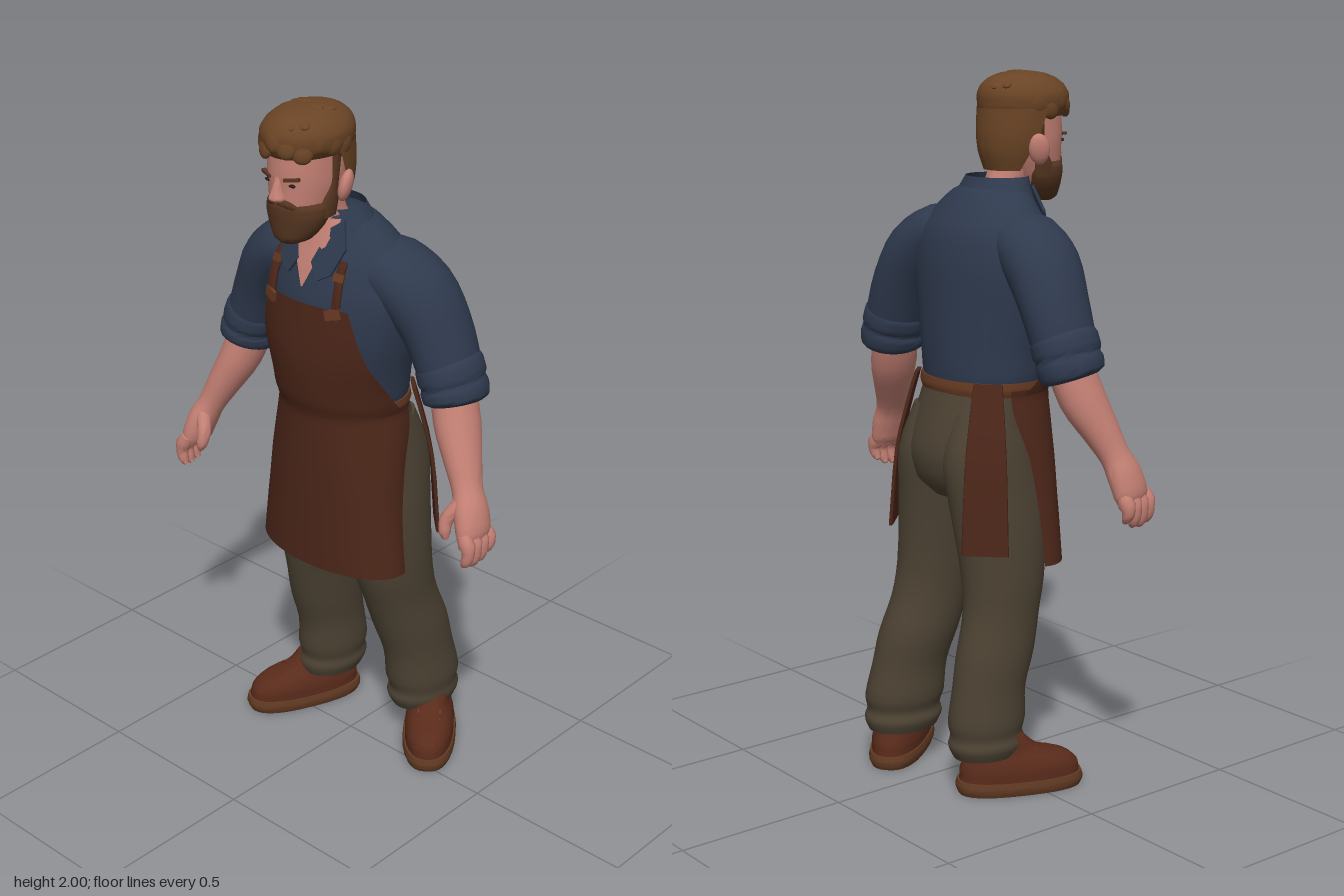
import * as THREE from 'three';
import { mergeVertices, toCreasedNormals } from 'three/addons/utils/BufferGeometryUtils.js';

const mat = (name, color, side = THREE.FrontSide) => {
  const m = new THREE.MeshStandardMaterial({ color, side });
  m.name = name;
  return m;
};

// Skin through elliptical sections [x, y, z, radiusX, radiusZ, halfAngle].
// A half angle leaves an open sheet around "mid"; flat keeps the rings level.
function loft(sections, { n = 32, steps = 3, flat = true, p = 1, mid = Math.PI / 2, open = false } = {}) {
  const path = new THREE.CatmullRomCurve3(sections.map(s => new THREE.Vector3(s[0], s[1], s[2])));
  const size = new THREE.CatmullRomCurve3(sections.map(s => new THREE.Vector3(s[3], s[4], s[5] ?? Math.PI)));
  const rows = (sections.length - 1) * steps, pos = [], idx = [], w = n + 1;
  const pw = c => Math.sign(c) * Math.abs(c) ** p;
  for (let i = 0; i <= rows; i++) {
    const c = path.getPoint(i / rows), r = size.getPoint(i / rows);
    const t = flat ? new THREE.Vector3(0, 1, 0) : path.getTangent(i / rows);
    const u = t.clone().cross(new THREE.Vector3(0, 0, 1)).normalize();
    const v = u.clone().cross(t);
    for (let j = 0; j <= n; j++) {
      const k = open ? mid + r.z * (2 * j / n - 1) : (j % n) / n * Math.PI * 2;
      const q = c.clone().addScaledVector(u, r.x * pw(Math.cos(k))).addScaledVector(v, r.y * pw(Math.sin(k)));
      pos.push(q.x, q.y, q.z);
      if (i < rows && j < n) {
        const a = i * w + j;
        idx.push(a, a + w, a + 1, a + 1, a + w, a + w + 1);
      }
    }
  }
  if (!open) {
    const e = pos.length / 3, last = rows * w;
    for (const q of [path.getPoint(0), path.getPoint(1)]) pos.push(q.x, q.y, q.z);
    for (let j = 0; j < n; j++) idx.push(e, j, j + 1, e + 1, last + j + 1, last + j);
  }
  const g = new THREE.BufferGeometry();
  g.setAttribute('position', new THREE.Float32BufferAttribute(pos, 3));
  g.setIndex(idx);
  return toCreasedNormals(mergeVertices(g, 1e-5), 1.0);
}

export function createModel() {
  const model = new THREE.Group();
  model.name = 'craftsman';
  const D = THREE.DoubleSide;
  const skin = mat('skin', 0xc48074, D), shirt = mat('blue shirt', 0x2f3a4e, D);
  const apron = mat('brown apron', 0x4c2619, D), strap = mat('strap leather', 0x643820);
  const pants = mat('olive trousers', 0x4b4132), hair = mat('hair', 0x6a4425, D);
  const beard = mat('beard', 0x553520), shoe = mat('shoe leather', 0x592b1b);
  const sole = mat('sole', 0x613a23), dark = mat('eye dark', 0x2c1d18);

  const add = (name, geo, m, parent = model) => {
    const mesh = new THREE.Mesh(geo, m);
    mesh.name = name;
    parent.add(mesh);
    return mesh;
  };
  const ball = (name, m, [x, y, z], [a, b, c], parent) => {
    const mesh = add(name, new THREE.SphereGeometry(1, 16, 12), m, parent);
    mesh.position.set(x, y, z);
    mesh.scale.set(a, b, c);
    return mesh;
  };

  // Trousers
  add('hips', loft([[-.01, .83, -.04, .1, .1], [-.01, .88, -.043, .165, .145], [-.01, .97, -.042, .19, .16],
    [-.01, 1.08, -.015, .182, .153], [-.01, 1.17, .01, .175, .145]]), pants);
  add('leftLeg', loft([[.147, .11, -.165, .083, .108], [.147, .145, -.163, .096, .122], [.15, .17, -.16, .09, .114],
    [.147, .21, -.158, .097, .124], [.143, .3, -.142, .091, .118], [.132, .4, -.115, .098, .124], [.126, .5, -.078, .094, .122],
    [.122, .6, -.05, .1, .13], [.106, .8, -.035, .107, .15], [.09, .95, -.042, .102, .155], [.082, 1.08, -.015, .085, .135]]), pants);
  add('rightLeg', loft([[-.178, .11, -.11, .08, .105], [-.178, .145, -.112, .093, .118], [-.176, .17, -.112, .087, .11],
    [-.175, .21, -.11, .093, .118], [-.173, .3, -.1, .087, .113], [-.17, .4, -.075, .091, .12], [-.163, .5, -.05, .09, .118],
    [-.155, .6, -.035, .098, .126], [-.128, .8, -.03, .107, .15], [-.11, .95, -.042, .102, .155], [-.102, 1.08, -.015, .085, .135]]), pants);

  // Shoes, toes turned out
  for (const [side, x, z, turn] of [['left', .213, -.12, .66], ['right', -.225, -.03, -.4]]) {
    const g = new THREE.Group();
    g.name = side + 'Shoe';
    g.position.set(x, 0, z);
    g.rotation.y = turn;
    model.add(g);
    add(side + 'Sole', loft([[0, 0, 0, .074, .178], [0, .02, 0, .08, .186], [0, .04, 0, .077, .182]], { p: .8 }), sole, g);
    add(side + 'Upper', loft([[0, .035, 0, .073, .176], [0, .07, -.002, .073, .172], [0, .098, -.014, .065, .15],
      [0, .12, -.05, .055, .108], [0, .17, -.075, .053, .075]], { p: .85 }), shoe, g);
    for (let i = 0; i < 3; i++) {
      const lace = add('lace', new THREE.BoxGeometry(.07, .01, .012), strap, g);
      lace.position.set(0, .106 + i * .012, .07 - i * .03);
      lace.rotation.x = .5;
    }
  }

  // Shirt body, throat and collar
  add('shirtBody', loft([[-.01, 1.13, .01, .18, .147], [-.01, 1.17, .012, .195, .155], [-.008, 1.24, .018, .204, .163],
    [-.005, 1.35, .025, .228, .168], [-.005, 1.47, .024, .245, .163], [-.008, 1.57, .02, .225, .142],
    [-.01, 1.64, .028, .168, .107], [-.01, 1.675, .038, .125, .089], [-.01, 1.69, .045, .09, .075]]), shirt);
  add('throat', loft([[-.003, 1.505, .035, .235, .156, .01], [-.006, 1.57, .035, .215, .138, .15],
    [-.01, 1.64, .045, .16, .106, .42], [-.012, 1.69, .06, .1, .08, .9]], { open: true, n: 12 }), skin);
  add('neck', loft([[-.01, 1.56, .05, .07, .07], [-.012, 1.66, .07, .064, .066], [-.018, 1.77, .12, .064, .066]]), skin);
  add('collarBand', loft([[-.01, 1.63, .04, .152, .108, 2.2], [-.01, 1.67, .048, .124, .092, 2.25],
    [-.012, 1.715, .058, .096, .082, 2.35]], { open: true, mid: -Math.PI / 2 }), shirt);
  for (const s of [1, -1]) {
    const tip = new THREE.Shape([[.056, .135], [.092, .165], [.116, .09], [.09, .015], [.052, -.01], [.022, .035]]
      .map(([x, y]) => new THREE.Vector2(s * x, y)));
    const leaf = add('collarLeaf', new THREE.ExtrudeGeometry(tip, { depth: .009, bevelEnabled: false }), shirt);
    leaf.position.set(-.008, 1.54, .18);
    leaf.rotation.set(-.36, s * .16, 0);
  }

  // Apron: bib, skirt, tie band, hanging back panels, straps
  add('apronBib', loft([[-.01, 1.12, .01, .196, .165, 1.75], [-.01, 1.16, .015, .208, .175, 1.5], [-.008, 1.21, .019, .214, .18, 1.3],
    [-.005, 1.3, .026, .236, .184, .95], [-.002, 1.38, .026, .252, .182, .74], [.004, 1.465, .024, .262, .178, .58]],
  { open: true }), apron);
  add('apronSkirt', loft([[-.015, .65, .05, .254, .13, 1.75], [-.015, .78, .046, .238, .134, 1.75], [-.012, .95, .034, .222, .146, 1.8],
    [-.01, 1.08, .014, .206, .166, 1.9], [-.01, 1.125, .012, .199, .169, 1.9], [-.01, 1.145, .012, .202, .175, 1.9]],
  { open: true }), apron);
  add('tieBand', loft([[-.01, 1.125, .01, .192, .159], [-.01, 1.145, .011, .199, .164], [-.01, 1.165, .012, .198, .16]]), strap);
  for (const s of [1, -1]) {
    const panel = add(s > 0 ? 'leftBackPanel' : 'rightBackPanel', loft([[0, s > 0 ? .72 : .7, -.07, .066, .006],
      [0, .95, -.05, .058, .006], [0, 1.08, -.02, .048, .006], [0, 1.165, .004, .04, .006]], { n: 16, p: .35 }), apron);
    panel.position.set(s > 0 ? .139 : -.165, 0, s > 0 ? -.112 : -.098);
    panel.rotation.y = -s * .785;
    const x = -.008;
    add('shoulderStrap', loft([[x + s * .117, 1.43, .183, .013, .006], [x + s * .117, 1.5, .172, .013, .006],
      [x + s * .112, 1.555, .153, .013, .006], [x + s * .108, 1.585, .134, .013, .006]], { flat: false, n: 12, p: .5 }), apron);
    const buckle = add('buckle', new THREE.BoxGeometry(.045, .028, .01), strap);
    buckle.position.set(x + s * .114, 1.452, .186);
    buckle.rotation.set(-.1, s * .35, s * .25);
    const clip = add('strapClip', new THREE.BoxGeometry(.03, .022, .01), strap);
    clip.position.set(x + s * .113, 1.548, .16);
    clip.rotation.set(-.4, s * .3, 0);
  }

  // Arms: sleeve, rolled cuff, forearm, hand
  for (const s of [1, -1]) {
    const g = new THREE.Group();
    g.name = s > 0 ? 'leftArm' : 'rightArm';
    if (s < 0) { g.rotation.y = .17; g.position.set(-.015, 0, .008); }
    model.add(g);
    const limb = (name, m, pts, n = 24) =>
      add(name, loft(pts.map(([x, ...r]) => [s * x, ...r]), { flat: false, n }), m, g);
    limb('sleeve', shirt, [[.07, 1.575, .015, .05, .085], [.15, 1.55, .004, .082, .114], [.225, 1.49, -.018, .094, .116],
      [.28, 1.4, -.035, .086, .108], [.32, 1.3, -.04, .08, .1], [.335, 1.26, -.04, .076, .096]]);
    limb('cuff', shirt, [[.315, 1.32, -.04, .074, .092], [.322, 1.302, -.04, .086, .103], [.333, 1.27, -.04, .087, .104],
      [.338, 1.255, -.04, .081, .098], [.343, 1.24, -.04, .087, .102], [.351, 1.21, -.038, .083, .098], [.354, 1.2, -.037, .068, .08]]);
    limb('forearm', skin, [[.335, 1.25, -.04, .06, .07], [.37, 1.15, -.022, .059, .071], [.415, 1.06, .005, .048, .057],
      [.45, .99, .025, .039, .046], [.472, .945, .036, .041, .056], [.49, .89, .045, .037, .06], [.494, .865, .046, .026, .052]]);
    for (let i = 0; i < 4; i++) {
      const z = .002 + i * .029, drop = [.815, .8, .796, .803][i];
      limb('finger', skin, [[.492, .895, z + .004, .018, .018], [.514, .85, z + .004, .018, .018],
        [.508, drop + .015, z + .006, .015, .016], [.498, drop, z + .007, .007, .007]], 10);
    }
    limb('thumb', skin, [[.455, .965, .06, .022, .024], [.433, .92, .09, .019, .021],
      [.436, .885, .1, .016, .017], [.442, .866, .102, .006, .006]], 12);
  }

  // Head
  const head = new THREE.Group();
  head.name = 'head';
  head.position.x = -.018;
  model.add(head);
  add('face', loft([[0, 1.65, .19, .04, .05], [0, 1.7, .175, .068, .078], [0, 1.76, .155, .083, .104],
    [0, 1.8, .148, .089, .112], [0, 1.83, .145, .09, .117], [0, 1.9, .14, .09, .118], [0, 1.95, .135, .06, .09]], { p: .92 }), skin, head);
  add('nose', loft([[0, 1.755, .25, .012, .012], [0, 1.766, .258, .023, .027], [0, 1.785, .254, .016, .025],
    [0, 1.825, .248, .011, .015]], { n: 16 }), skin, head);
  add('beard', loft([[0, 1.638, .212, .03, .03], [0, 1.65, .203, .054, .05], [0, 1.685, .188, .079, .069],
    [0, 1.72, .18, .091, .08], [0, 1.742, .176, .09, .084], [0, 1.757, .172, .07, .08]]), beard, head);
  for (const s of [1, -1]) {
    add('moustache', loft([[s * .004, 1.757, .261, .008, .008], [s * .03, 1.752, .252, .011, .009],
      [s * .055, 1.735, .232, .006, .006]], { n: 10, flat: false }), beard, head);
    add('sideburn', loft([[s * .08, 1.71, .16, .011, .034], [s * .083, 1.75, .15, .011, .03], [s * .084, 1.8, .137, .009, .016],
      [s * .087, 1.88, .13, .01, .018]], { n: 12 }), beard, head);
    ball('ear', skin, [s * .106, 1.79, .115], [.018, .044, .03], head).rotation.set(-.15, s * .5, -s * .15);
    ball('eye', dark, [s * .042, 1.806, .249], [.012, .005, .006], head);
    const brow = add('eyebrow', new THREE.BoxGeometry(.044, .008, .012), beard, head);
    brow.position.set(s * .044, 1.823, .252);
    brow.rotation.set(0, s * .35, s * .12);
  }

  // Hair: rounded crown, nape and overlapping locks
  add('hairCrown', loft([[0, 1.875, .142, .094, .122], [0, 1.9, .145, .113, .135], [0, 1.93, .145, .115, .137],
    [0, 1.96, .142, .101, .125], [0, 1.98, .14, .078, .1], [0, 1.991, .138, .054, .07], [0, 1.997, .137, .024, .032]]), hair, head);
  add('hairNape', loft([[0, 1.73, .095, .074, .068, 1.3], [0, 1.78, .11, .095, .1, 1.42], [0, 1.83, .125, .107, .12, 1.5],
    [0, 1.9, .14, .112, .132, 1.6]], { open: true, mid: -Math.PI / 2 }), hair, head);
  for (let i = 0; i < 11; i++) {
    const k = Math.PI * (-.08 + 1.16 * i / 10);
    const lock = ball('fringeLock', hair, [Math.cos(k) * .1, 1.9 + .012 * (i % 3), .143 + Math.sin(k) * .126], [.03, .034, .016], head);
    lock.rotation.set(-.3, Math.PI / 2 - k, i % 2 ? .5 : .2);
  }
  for (let i = 0; i < 16; i++) {
    const k = i * 2.4, r = .2 + .55 * (i % 4) / 3;
    const lock = ball('crownLock', hair, [Math.cos(k) * .108 * r, 1.992 - .045 * r * r, .14 + Math.sin(k) * .13 * r], [.017, .009, .036], head);
    lock.rotation.set(Math.sin(k) * r * .6, Math.PI / 2 - k + .5, 0);
  }
  return model;
}
